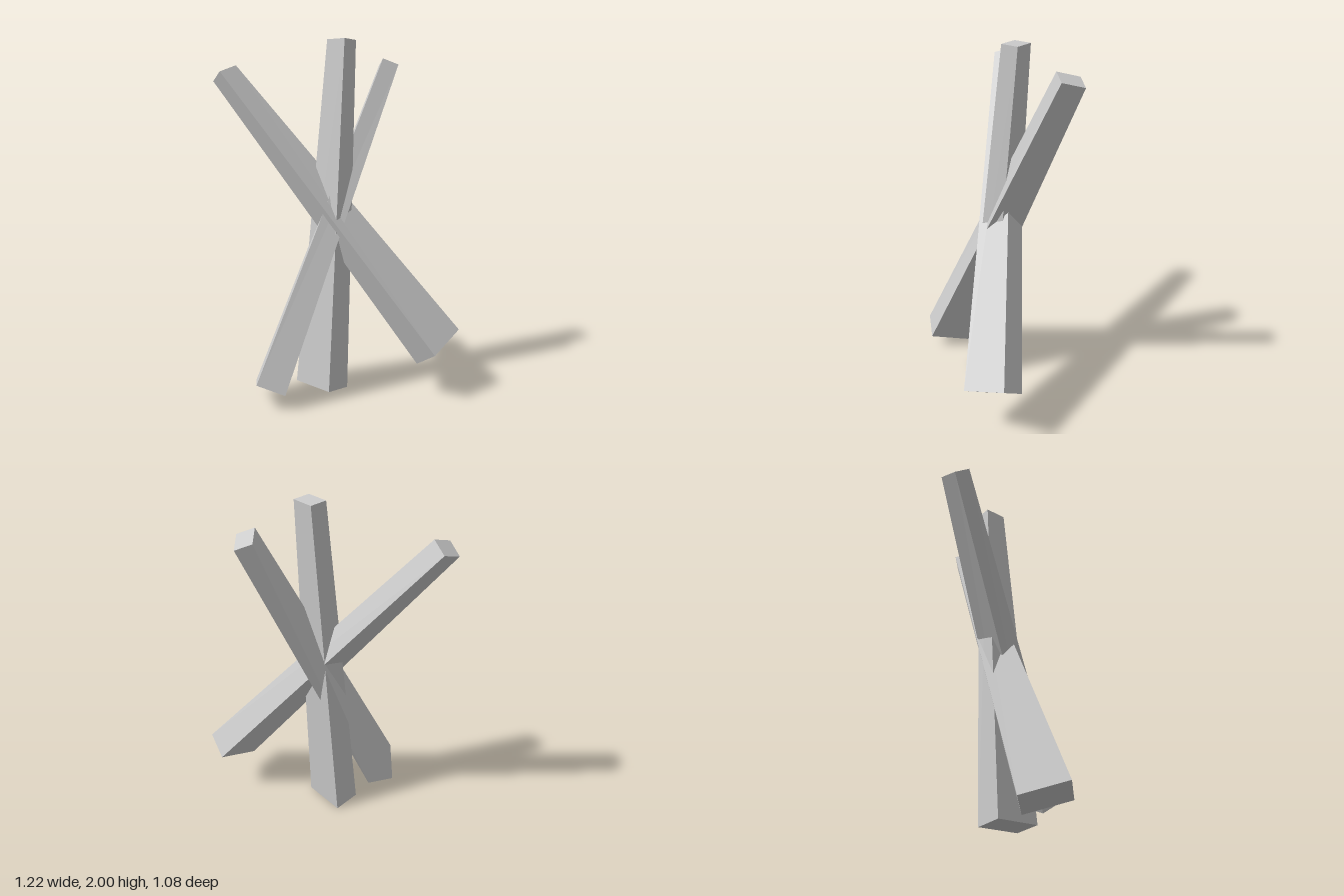
import * as THREE from 'three';

const material = new THREE.MeshStandardMaterial({ color: 0xcccccc, flatShading: true });

// Tapered beam: a box whose ends are moved onto two quads.
// Corners run back-left, back-right, front-right, front-left.
function beam(name, top, bottom) {
  const geo = new THREE.BoxGeometry(1, 1, 1);
  const pos = geo.attributes.position;
  for (let i = 0; i < pos.count; i++) {
    const right = pos.getX(i) > 0;
    const corner = pos.getZ(i) > 0 ? (right ? 2 : 3) : (right ? 1 : 0);
    pos.setXYZ(i, ...(pos.getY(i) > 0 ? top : bottom)[corner]);
  }
  geo.computeVertexNormals();
  const mesh = new THREE.Mesh(geo, material);
  mesh.name = name;
  return mesh;
}

export function createModel() {
  const group = new THREE.Group();
  group.name = 'crossedBeams';

  // Nearly upright beam, leaning slightly back
  group.add(beam('uprightBeam',
    [[-0.08, 1.995, -0.167], [0.05, 1.995, -0.167], [0.05, 2, -0.07], [-0.08, 2, -0.07]],
    [[-0.145, 0, -0.032], [0.113, 0, -0.032], [0.113, 0.018, 0.127], [-0.145, 0.018, 0.127]]));

  // Beam leaning from the front foot to the back top, turned on edge
  group.add(beam('backLeaningBeam',
    [[-0.03, 1.87, -0.48], [0.035, 1.835, -0.543], [0.13, 1.868, -0.46], [0.065, 1.903, -0.395]],
    [[-0.23, 0.075, 0.37], [-0.115, 0.016, 0.268], [0.075, 0.085, 0.436], [-0.04, 0.144, 0.54]]));

  // Diagonal beam from the right top to the left foot
  group.add(beam('diagonalBeam',
    [[-0.614, 1.808, 0.203], [-0.53, 1.861, 0.22], [-0.528, 1.823, 0.342], [-0.61, 1.77, 0.325]],
    [[0.465, 0.272, -0.47], [0.604, 0.36, -0.445], [0.61, 0.271, -0.196], [0.473, 0.183, -0.221]]));

  return group;
}
